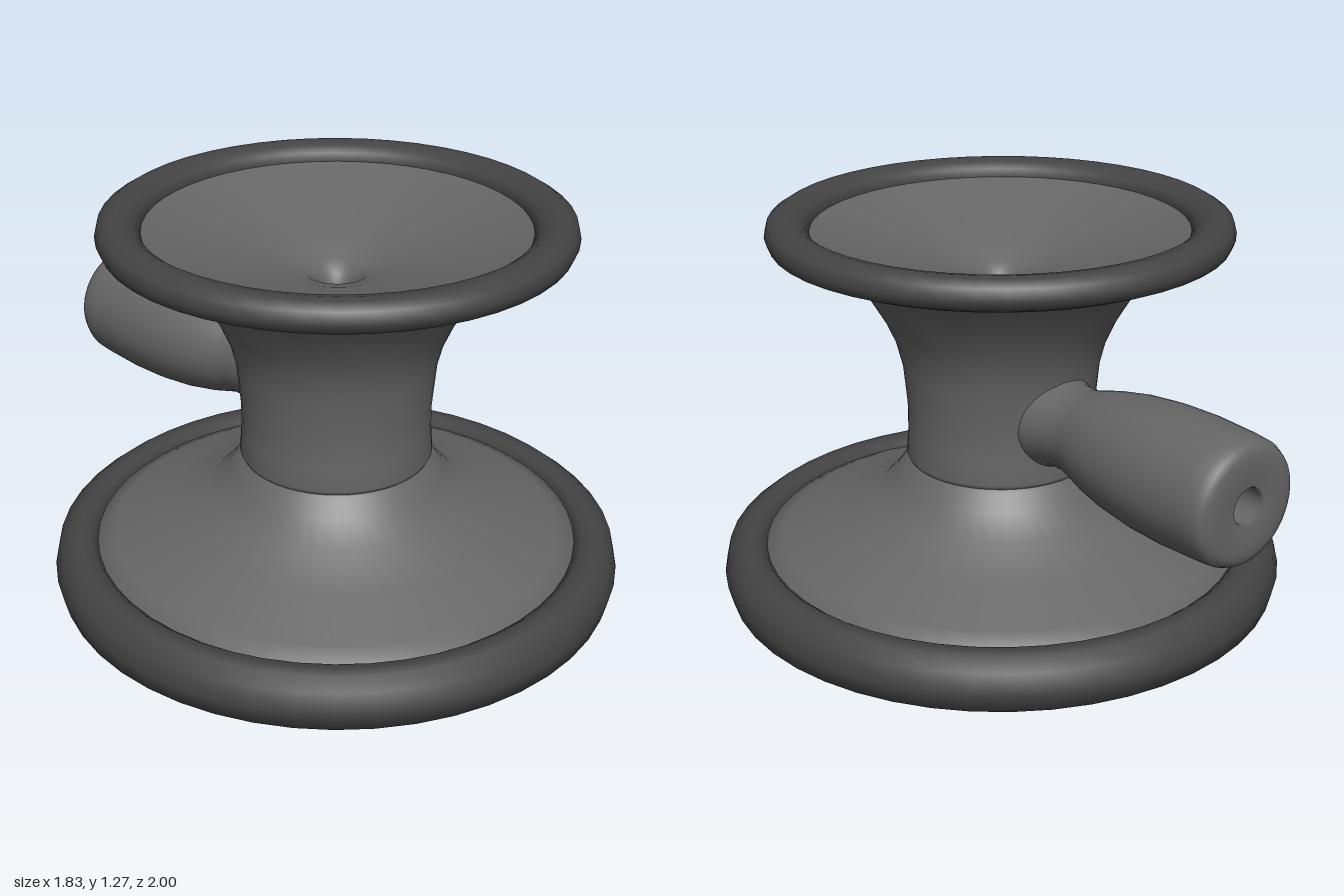
import * as THREE from 'three';

const AXIS_Z = 0.083; // the round body sits slightly forward of the origin
const SEGMENTS = 48;
const bodyMaterial = new THREE.MeshStandardMaterial({ color: 0x666666 });
const rimMaterial = new THREE.MeshStandardMaterial({ color: 0x444444 });

// Profiles are [radius, height], outside running upward
function lathe(name, profile, material) {
  const points = profile.map(([r, y]) => new THREE.Vector2(r, y));
  const mesh = new THREE.Mesh(new THREE.LatheGeometry(points, SEGMENTS), material);
  mesh.name = name;
  return mesh;
}

export function createModel() {
  const model = new THREE.Group();
  model.name = 'chestPiece';

  const body = new THREE.Group();
  body.name = 'body';
  body.position.z = AXIS_Z;
  model.add(body);

  // Wide base drum with a shallow hollow underneath
  body.add(lathe('baseCone', [
    [0.045, 0.47], [0.045, 0.2], [0.055, 0.165], [0.09, 0.14], [0.25, 0.11], [0.5, 0.075], [0.74, 0.05],
    [0.79, 0.1], [0.79, 0.17], [0.72, 0.2], [0.56, 0.265], [0.41, 0.33], [0.345, 0.4], [0.31, 0.455], [0.28, 0.475],
  ], bodyMaterial));

  // Stem flaring into the small bell, with a dish and a bore through the middle
  body.add(lathe('stemAndBell', [
    [0.28, 0.455], [0.3, 0.46], [0.308, 0.475], [0.302, 0.55], [0.302, 0.64], [0.315, 0.78], [0.335, 0.86],
    [0.37, 0.94], [0.45, 1.075], [0.55, 1.17], [0.62, 1.21], [0.62, 1.235],
    [0.59, 1.225], [0.4, 1.165], [0.22, 1.115], [0.1, 1.075], [0.06, 1.04], [0.045, 0.98], [0.045, 0.455],
  ], bodyMaterial));

  // Rounded rings around both faces
  body.add(lathe('baseRim', [
    [0.76, 0.1], [0.71, 0.05], [0.73, 0.02], [0.77, 0.003], [0.82, 0], [0.85, 0.012], [0.9, 0.04], [0.915, 0.1],
    [0.9, 0.165], [0.86, 0.197], [0.83, 0.2], [0.8, 0.195], [0.775, 0.175], [0.76, 0.1],
  ], rimMaterial));
  body.add(lathe('bellRim', [
    [0.6, 1.2], [0.59, 1.19], [0.61, 1.177], [0.68, 1.175], [0.715, 1.19], [0.727, 1.22], [0.718, 1.255],
    [0.69, 1.273], [0.66, 1.275], [0.63, 1.268], [0.605, 1.25], [0.59, 1.225], [0.6, 1.2],
  ], rimMaterial));

  // Side connector pointing backward, with a bored end
  const connector = lathe('tubeConnector', [
    [0.15, 0.17], [0.147, 0.21], [0.135, 0.25], [0.134, 0.32], [0.145, 0.36], [0.165, 0.43], [0.185, 0.53],
    [0.198, 0.65], [0.202, 0.78], [0.197, 0.92], [0.193, 0.965], [0.182, 0.988], [0.16, 0.998],
    [0.13, 1], [0.06, 1], [0.055, 0.99], [0.055, 0.3], [0, 0.3],
  ], bodyMaterial);
  connector.rotation.x = -Math.PI / 2;
  connector.position.y = 0.66;
  model.add(connector);

  return model;
}
